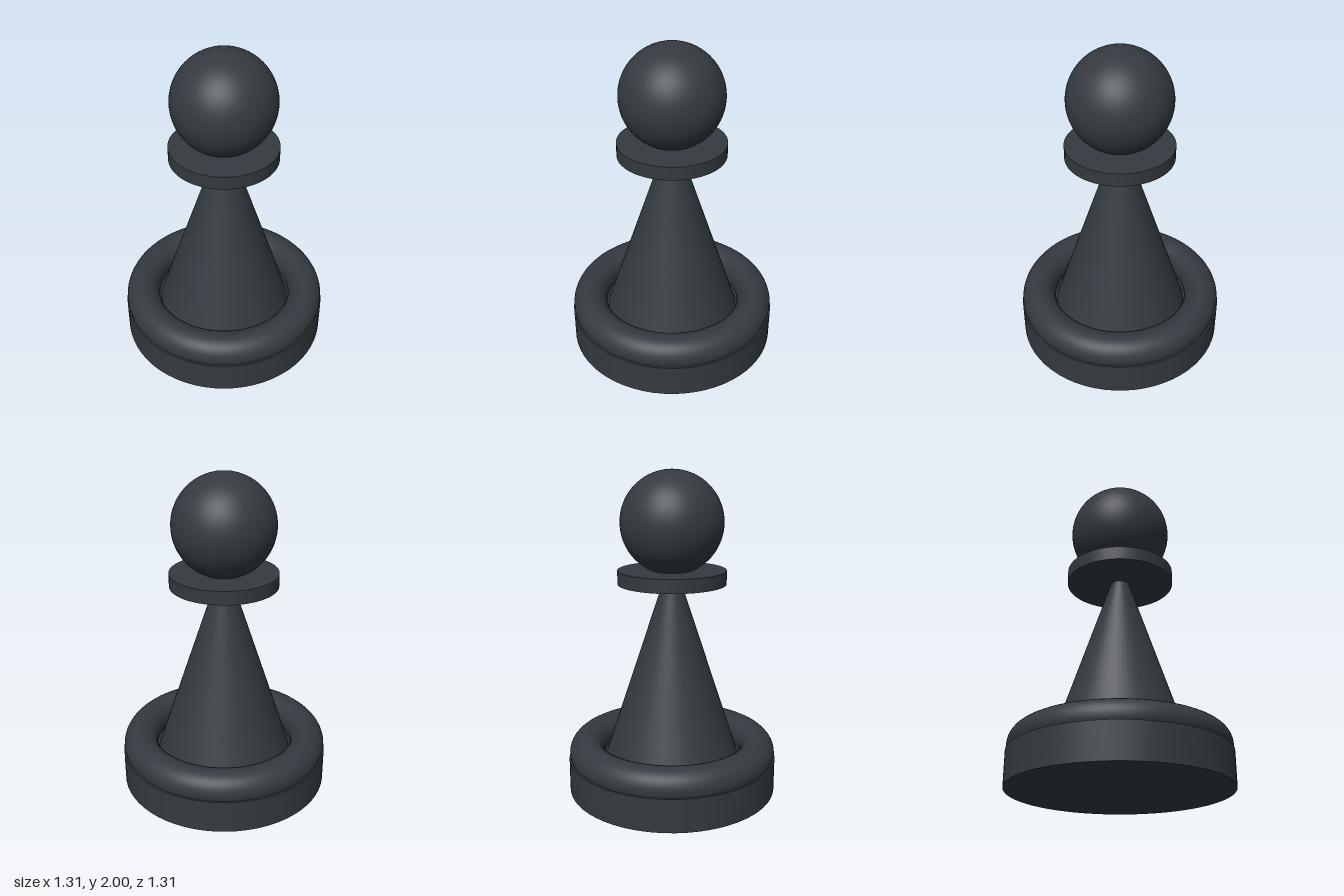
import * as THREE from 'three';

export function createModel() {
  const group = new THREE.Group();
  const slate = new THREE.MeshStandardMaterial({ color: 0x343a40 });
  slate.name = 'dark slate';

  const add = (name, geometry, y) => {
    const mesh = new THREE.Mesh(geometry, slate);
    mesh.name = name;
    mesh.position.y = y;
    group.add(mesh);
    return mesh;
  };
  // Upright round part spanning y0 to y1
  const round = (name, rTop, rBottom, y0, y1) =>
    add(name, new THREE.CylinderGeometry(rTop, rBottom, y1 - y0, 64), (y0 + y1) / 2);

  // Foot: flat disc with a rounded ring resting on it
  round('base', 0.656, 0.656, 0, 0.21);
  add('baseRing', new THREE.TorusGeometry(0.542, 0.109, 32, 96).rotateX(Math.PI / 2), 0.245);

  // Tapered body, flat collar and ball head
  round('body', 0.054, 0.424, 0.209, 1.33);
  round('collar', 0.332, 0.332, 1.318, 1.402);
  add('head', new THREE.SphereGeometry(0.313, 64, 40), 1.687);

  return group;
}
